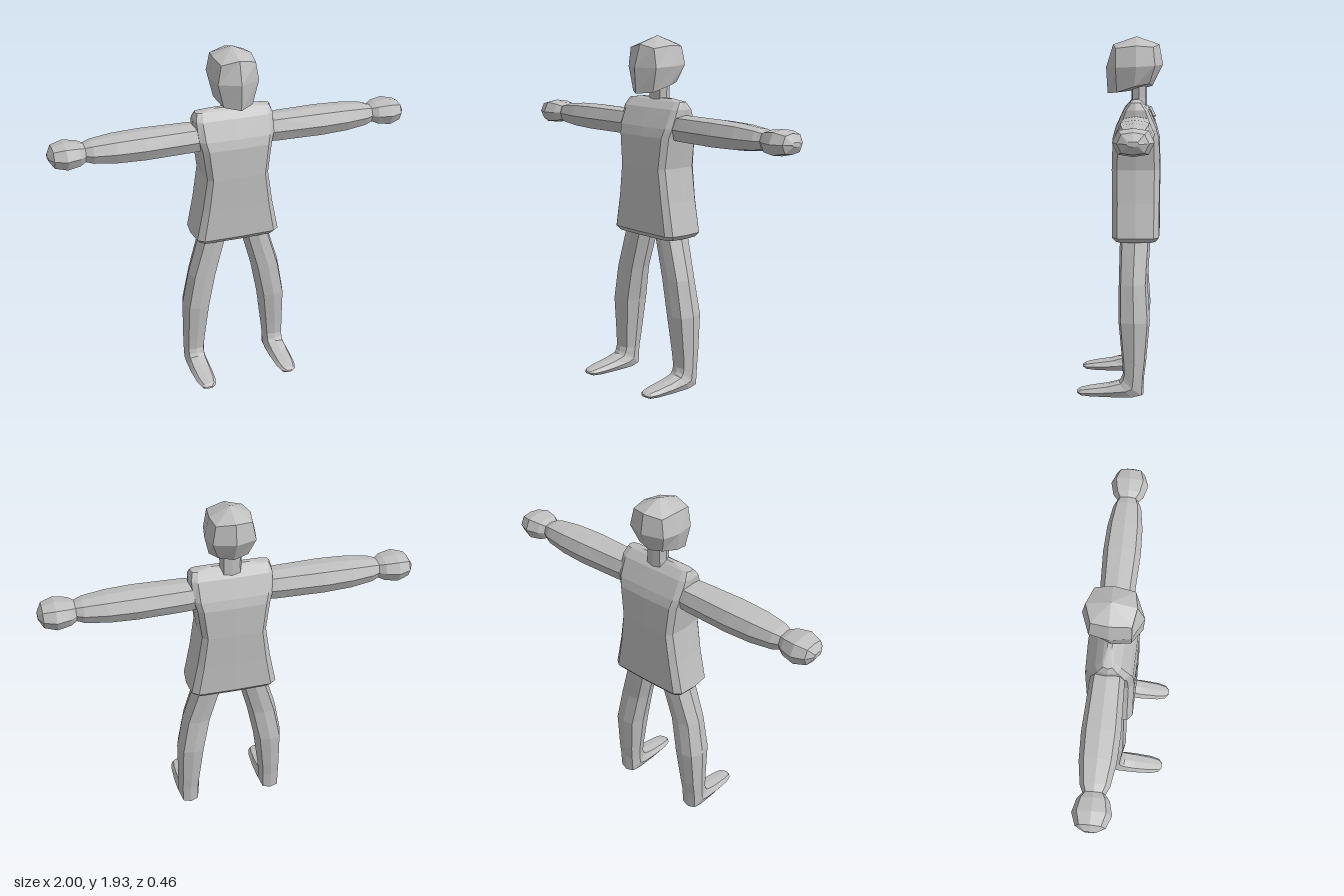
import * as THREE from 'three';

const MID_Z = -0.085; // depth of the body's centre plane

// Unit cross-sections, counter-clockwise half outlines closed by symmetry
const LIMB = [[0, 1], [0.72, 0.84], [1, 0], [0.72, -0.84], [0, -1], [-0.72, -0.84], [-1, 0], [-0.72, 0.84]];
const TRUNK = [[0, 1], [0.82, 0.97], [0.96, 0.75], [1, 0], [0.96, -0.75], [0.82, -0.97],
  [0, -1], [-0.82, -0.97], [-0.96, -0.75], [-1, 0], [-0.96, 0.75], [-0.82, 0.97]];

const centroid = (ring) => ring.reduce((s, p) => s.map((v, i) => v + p[i] / ring.length), [0, 0, 0]);

// Skin a closed solid over rings of points, with fan caps; faces turned outward
function loft(rings, startTip = centroid(rings[0]), endTip = centroid(rings[rings.length - 1])) {
  const n = rings[0].length;
  const last = (rings.length - 1) * n;
  const points = [...rings.flat(), startTip, endTip];
  const tip = rings.length * n;
  const tris = [];
  for (let j = 0; j < n; j++) {
    const k = (j + 1) % n;
    for (let r = 0; r < last; r += n) {
      tris.push([r + j, r + k, r + n + k], [r + j, r + n + k, r + n + j]);
    }
    tris.push([tip, k, j], [tip + 1, last + j, last + k]);
  }
  const vecs = points.map((p) => new THREE.Vector3(...p));
  const volume = tris.reduce((s, [a, b, c]) => s + vecs[a].dot(vecs[b].clone().cross(vecs[c])), 0);
  const index = tris.flatMap(([a, b, c]) => (volume < 0 ? [a, c, b] : [a, b, c]));
  const indexed = new THREE.BufferGeometry().setFromPoints(vecs);
  indexed.setIndex(index);
  const geometry = indexed.toNonIndexed();
  geometry.computeVertexNormals();
  return geometry;
}

export function createModel() {
  const model = new THREE.Group();
  model.name = 'figure';
  const grey = new THREE.MeshStandardMaterial({ color: 0xc0c0c0, flatShading: true });
  grey.name = 'plain grey';

  const add = (name, geometry) => {
    const mesh = new THREE.Mesh(geometry, grey);
    mesh.name = name;
    model.add(mesh);
  };

  // Tunic: [height, half width, half depth]
  const tunic = [
    [0.845, 0.225, 0.11], [0.87, 0.245, 0.13], [1.05, 0.208, 0.13], [1.23, 0.18, 0.133],
    [1.4, 0.203, 0.127], [1.45, 0.218, 0.113], [1.55, 0.223, 0.067], [1.59, 0.21, 0.03], [1.602, 0.12, 0.012],
  ];
  add('tunic', loft(tunic.map(([y, w, d]) => TRUNK.map(([u, v]) => [u * w, y, MID_Z + v * d]))));

  // Neck
  const neck = [[1.56, 0.062], [1.61, 0.058], [1.69, 0.06]];
  add('neck', loft(neck.map(([y, w]) => LIMB.map(([u, v]) => [u * w, y, -0.1 + v * 0.042]))));

  // Head: each ring runs front, front corner, side, back corner, back, then mirrored
  const headRing = (half) => [...half, ...half.slice(1, 4).reverse().map(([x, y, z]) => [-x, y, z])];
  const head = [
    [[0, 1.63, 0.072], [0.08, 1.638, 0.02], [0.108, 1.67, -0.075], [0.078, 1.685, -0.155], [0, 1.67, -0.17]],
    [[0, 1.77, 0.08], [0.112, 1.77, 0.025], [0.132, 1.775, -0.085], [0.112, 1.78, -0.185], [0, 1.785, -0.228]],
    [[0, 1.892, 0.042], [0.094, 1.872, 0.025], [0.107, 1.885, -0.085], [0.094, 1.878, -0.175], [0, 1.893, -0.208]],
  ].map(headRing);
  add('head', loft(head, [0, 1.645, -0.065], [0, 1.935, MID_Z]));

  // Arms and hands: [distance from centre, half height, half depth]
  const arm = [[0.15, 0.068, 0.08], [0.24, 0.073, 0.09], [0.5, 0.074, 0.1], [0.65, 0.069, 0.094],
    [0.77, 0.057, 0.075], [0.812, 0.045, 0.055]];
  const hand = [[0.8, 0.042, 0.05], [0.84, 0.058, 0.082], [0.91, 0.067, 0.1], [0.975, 0.052, 0.075], [1, 0.012, 0.03]];

  // Legs running into feet: [x, y, z, half width, half depth, tilt in degrees]
  const leg = [
    [0.115, 0.93, -0.084, 0.072, 0.08, 0], [0.122, 0.85, -0.082, 0.078, 0.083, 0],
    [0.187, 0.62, -0.073, 0.082, 0.078, 0], [0.225, 0.42, -0.079, 0.08, 0.085, 0],
    [0.239, 0.2, -0.08, 0.066, 0.065, 0], [0.243, 0.125, -0.077, 0.062, 0.058, 5],
    [0.243, 0.06, -0.07, 0.061, 0.076, 38], [0.243, 0.045, -0.035, 0.061, 0.057, 52],
    [0.243, 0.037, 0.06, 0.061, 0.034, 85], [0.243, 0.031, 0.16, 0.055, 0.024, 90],
    [0.243, 0.028, 0.21, 0.042, 0.017, 90], [0.243, 0.028, 0.23, 0.018, 0.006, 90],
  ];

  for (const [side, s] of [['left', 1], ['right', -1]]) {
    const alongX = (rows) => loft(rows.map(([x, h, d]) => LIMB.map(([u, v]) => [s * x, 1.448 + v * h, -0.088 + u * d])));
    add(`${side}Arm`, alongX(arm));
    add(`${side}Hand`, alongX(hand));
    add(`${side}LegAndFoot`, loft(leg.map(([x, y, z, w, d, tilt]) => {
      const t = THREE.MathUtils.degToRad(tilt);
      return LIMB.map(([u, v]) => [s * (x + u * w), y + v * d * Math.sin(t), z + v * d * Math.cos(t)]);
    })));
  }

  return model;
}
